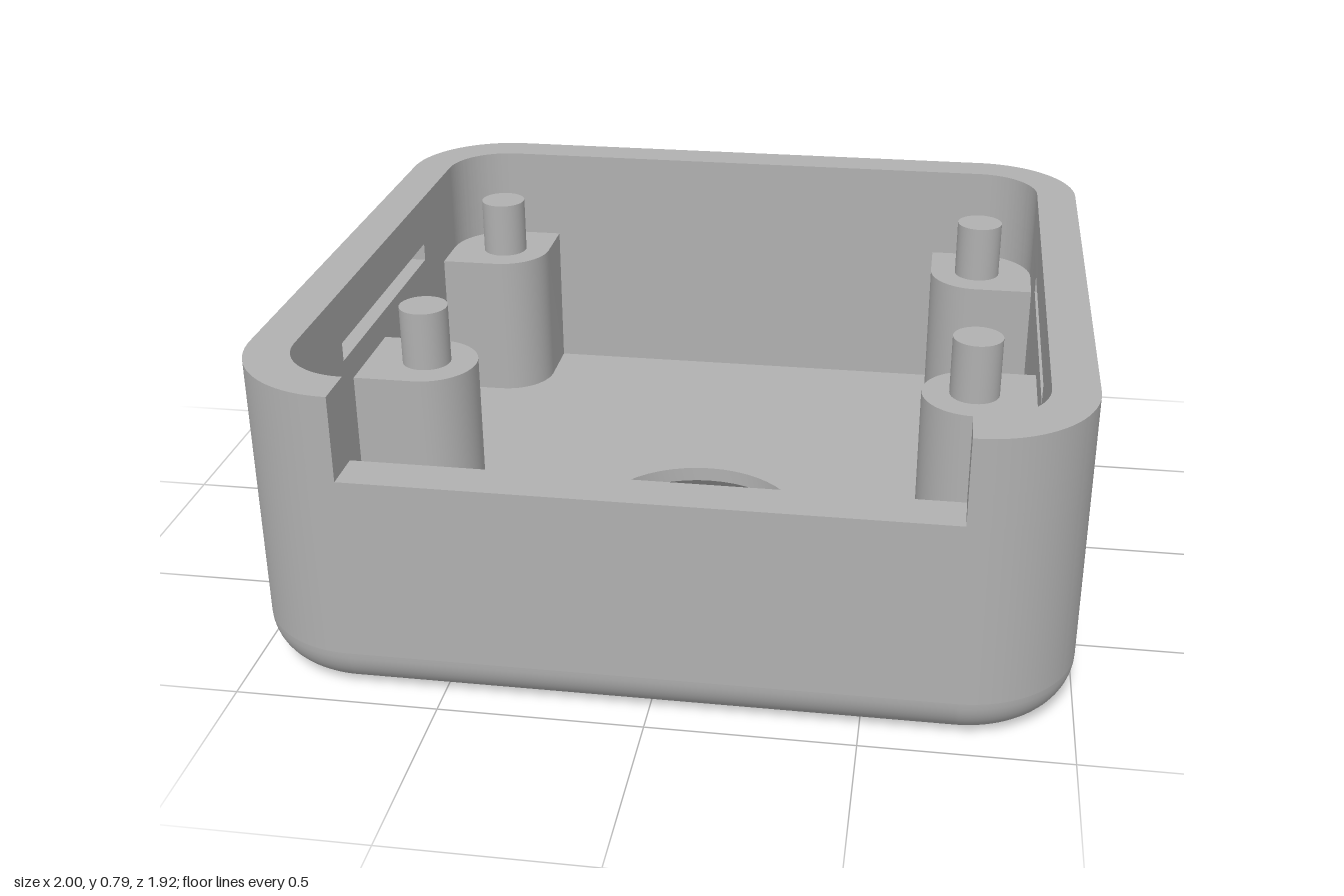
import * as THREE from 'three';
import { mergeGeometries, toCreasedNormals } from 'three/addons/utils/BufferGeometryUtils.js';

const SEG = 24, FLOOR = 0.11, NOTCH_Y = 0.575, TOP = 0.79;
const CX = 0.72, CZ = 0.68;          // corner arc centres
const R_OUT = 0.28, R_IN = 0.17;     // outer and inner corner radii
const HOLE_Z = 0.17;

// Rounded rectangle around the shared corner centres (shape y = model z)
function roundedRect(r, Type = THREE.Shape) {
  const s = new Type(), q = Math.PI / 2;
  [[1, 1], [-1, 1], [-1, -1], [1, -1]].forEach(([sx, sz], i) =>
    s.absarc(sx * CX, sz * CZ, r, i * q, (i + 1) * q, false));
  s.closePath();
  return s;
}

function circle(x, z, r) {
  return new THREE.Path().absarc(x, z, r, 0, Math.PI * 2, true);
}

// Plan shape raised between two heights
function prism(shape, y0, y1) {
  const g = new THREE.ExtrudeGeometry(shape, { depth: y1 - y0, bevelEnabled: false, curveSegments: SEG });
  g.rotateX(Math.PI / 2).translate(0, y1, 0);
  return toCreasedNormals(g, 0.5);
}

// Wall plan open at the front, optionally with grooves cut in both inner sides
function openWall(grooved) {
  const s = new THREE.Shape(), n = 0.715, q = Math.PI / 2;
  const xi = CX + R_IN, zi = CZ + R_IN, xg = xi + 0.05, g = 0.37;
  s.moveTo(n, zi);
  s.lineTo(n, CZ + R_OUT);
  s.absarc(CX, CZ, R_OUT, q, 0, true);
  s.absarc(CX, -CZ, R_OUT, 0, -q, true);
  s.absarc(-CX, -CZ, R_OUT, -q, -2 * q, true);
  s.absarc(-CX, CZ, R_OUT, 2 * q, q, true);
  s.lineTo(-n, CZ + R_OUT);
  s.lineTo(-n, zi);
  s.absarc(-CX, CZ, R_IN, q, 2 * q, false);
  if (grooved) [[-xi, g], [-xg, g], [-xg, -g], [-xi, -g]].forEach(p => s.lineTo(...p));
  s.absarc(-CX, -CZ, R_IN, 2 * q, 3 * q, false);
  s.absarc(CX, -CZ, R_IN, -q, 0, false);
  if (grooved) [[xi, -g], [xg, -g], [xg, g], [xi, g]].forEach(p => s.lineTo(...p));
  s.absarc(CX, CZ, R_IN, 0, q, false);
  return s;
}

// Rounded lower edge, lofted through inset outlines
function bottomFillet(r) {
  const steps = 12, pos = [], index = [];
  let n = 0;
  for (let j = 0; j <= steps; j++) {
    const t = (j / steps) * Math.PI / 2;
    const pts = roundedRect(R_OUT - r * (1 - Math.sin(t))).getPoints(SEG);
    if (pts[0].distanceTo(pts[pts.length - 1]) < 1e-6) pts.pop();
    n = pts.length;
    pts.forEach(p => pos.push(p.x, r * (1 - Math.cos(t)), p.y));
  }
  for (let j = 0; j < steps; j++) for (let i = 0; i < n; i++) {
    const a = j * n + i, b = j * n + (i + 1) % n;
    index.push(a, a + n, b, b, a + n, b + n);
  }
  const g = new THREE.BufferGeometry();
  g.setAttribute('position', new THREE.Float32BufferAttribute(pos, 3));
  g.setIndex(index);
  g.computeVertexNormals();
  return g;
}

// Post plan: rounded toward the middle, joined to the side wall (and back wall for corners)
function postShape(side, z, corner) {
  const s = new THREE.Shape(), x = 0.73, r = 0.137, wall = 0.9;
  if (corner) {
    s.moveTo(side * wall, -0.68);
    s.absarc(side * CX, -CZ, R_IN + 0.005, side > 0 ? 0 : Math.PI, -Math.PI / 2, side > 0);
    s.lineTo(side * (x - r), -CZ - R_IN - 0.005);
  } else {
    s.moveTo(side * wall, z - r);
    s.lineTo(side * x, z - r);
  }
  for (let i = corner ? 12 : 0; i <= 24; i++) {
    const a = -Math.PI / 2 + (i / 24) * Math.PI;
    s.lineTo(side * (x - r * Math.cos(a)), z + r * Math.sin(a));
  }
  s.lineTo(side * wall, z + r);
  s.closePath();
  return s;
}

export function createModel() {
  const model = new THREE.Group();
  const grey = new THREE.MeshStandardMaterial({ color: 0xb0b0b0 });
  grey.name = 'grey plastic';
  const add = (name, geometry, parent = model) => {
    const m = new THREE.Mesh(geometry, grey);
    m.name = name;
    parent.add(m);
    return m;
  };

  // Walls: closed ring below the notch, open layers above it
  const ring = roundedRect(R_OUT);
  ring.holes.push(roundedRect(R_IN, THREE.Path));
  add('walls', mergeGeometries([
    prism(ring, FLOOR, NOTCH_Y),
    prism(openWall(false), NOTCH_Y, 0.605),
    prism(openWall(true), 0.605, 0.655),
    prism(openWall(false), 0.655, TOP),
  ]));

  // Floor with a round opening, countersunk from below
  const floor = roundedRect(R_IN + 0.02);
  floor.holes.push(circle(0, HOLE_Z, 0.28));
  add('floor', prism(floor, 0.07, FLOOR));
  add('bottomEdge', bottomFillet(FLOOR));
  const under = roundedRect(R_OUT - FLOOR);
  under.holes.push(circle(0, HOLE_Z, 0.35));
  add('underside', new THREE.ShapeGeometry(under, SEG).rotateX(Math.PI / 2));
  const sink = add('countersink', new THREE.LatheGeometry(
    [new THREE.Vector2(0.28, 0.07), new THREE.Vector2(0.35, 0)], 48));
  sink.position.z = HOLE_Z;

  // Four mounting posts with locating pins
  for (const side of [-1, 1]) for (const corner of [true, false]) {
    const z = corner ? -0.693 : 0.173;
    const post = new THREE.Group();
    post.name = (corner ? 'back' : 'middle') + (side > 0 ? 'Left' : 'Right') + 'Post';
    add('post', prism(postShape(side, z, corner), FLOOR - 0.01, 0.53), post);
    const pin = add('pin', new THREE.CylinderGeometry(0.065, 0.065, 0.17, 32), post);
    pin.position.set(side * 0.73, 0.605, z);
    model.add(post);
  }
  return model;
}
